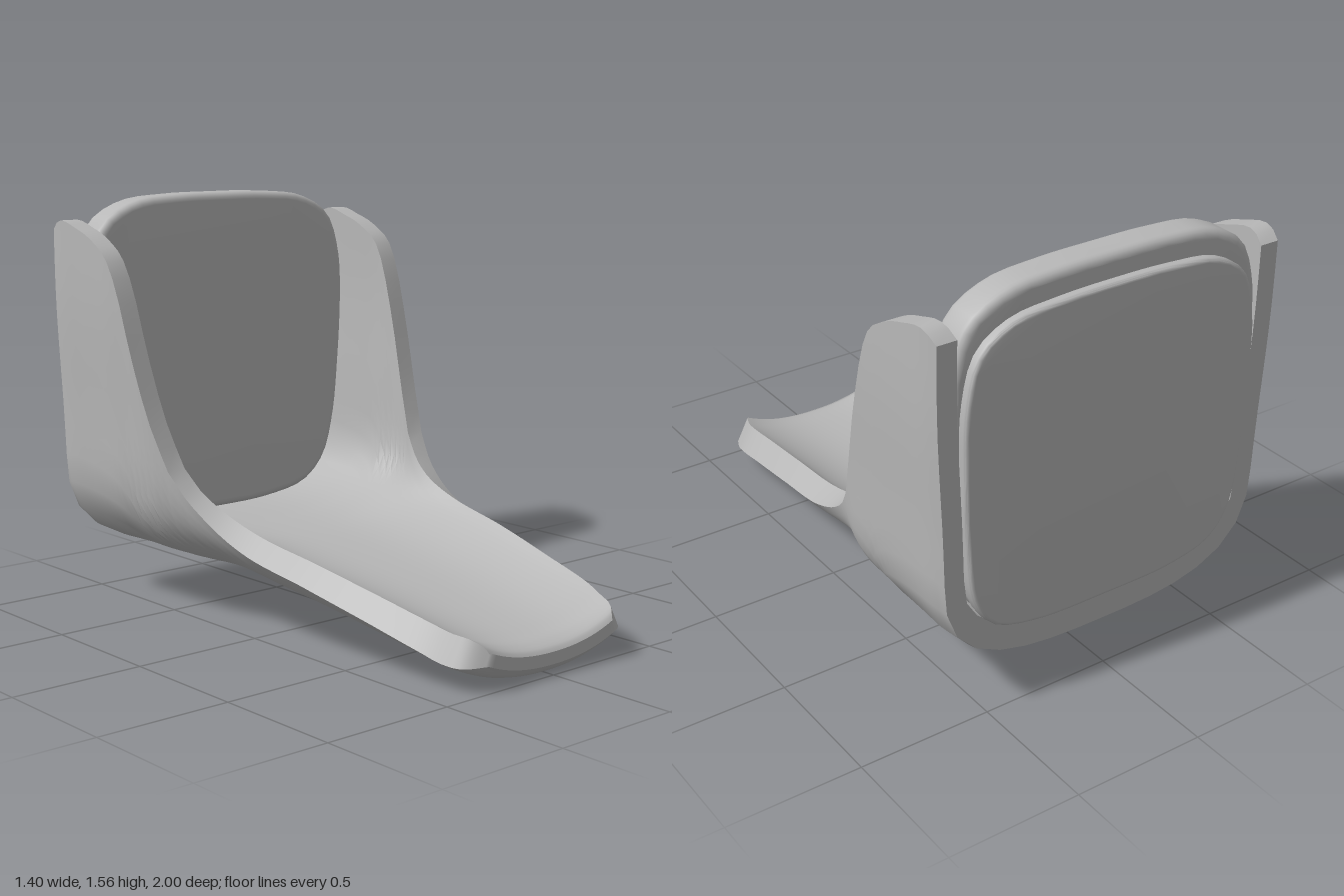
import * as THREE from 'three';
import { toCreasedNormals } from 'three/addons/utils/BufferGeometryUtils.js';

const grey = new THREE.MeshStandardMaterial({ color: 0xb8b8b8 });
grey.name = 'grey';

// Shell stations, back to front: z, underside y, rim y, half width at the rim
const STATIONS = [
  [-0.98, 0.18, 1.44, 0.69], [-0.93, 0.175, 1.475, 0.70], [-0.8, 0.175, 1.45, 0.70],
  [-0.7, 0.175, 1.41, 0.70], [-0.6, 0.172, 1.33, 0.70], [-0.55, 0.17, 1.22, 0.695],
  [-0.48, 0.17, 0.99, 0.685], [-0.4, 0.168, 0.74, 0.66], [-0.3, 0.165, 0.54, 0.62],
  [-0.2, 0.16, 0.44, 0.59], [0, 0.14, 0.335, 0.56], [0.3, 0.10, 0.265, 0.525],
  [0.6, 0.05, 0.19, 0.48], [0.8, 0.02, 0.135, 0.445], [0.9, 0.008, 0.10, 0.41],
  [0.96, 0.012, 0.095, 0.375], [1, 0.045, 0.10, 0.31],
];
const profile = new THREE.CubicInterpolant(
  STATIONS.map(s => s[0]), STATIONS.flatMap(s => s.slice(1)), 3, new Float32Array(3));

const HALF = 32;          // segments across one U-shaped section
const CORNER = 0.42;      // height of the rounded lower corner

// Closed loop of a U section: outside from right rim to left rim, then inside back
function section(z) {
  const [bottom, rim, rimX] = profile.evaluate(z);
  const h = rim - bottom;
  const n = THREE.MathUtils.mapLinear(z, -1, 1, 3, 2.2);
  const t = Math.min(1, h / CORNER);
  const end = Math.acos(Math.pow(1 - t, n / 2));
  const flare = y => 1 + 0.045 * THREE.MathUtils.smoothstep(y, CORNER * 0.8, 1.1);
  const w = rimX / (Math.pow(Math.sin(end), 2 / n) * flare(h));
  const side = [];
  for (let i = 1; i <= 14; i++) {
    const a = end * Math.pow(i / 14, 1.4);
    const y = CORNER * (1 - Math.pow(Math.max(0, Math.cos(a)), 2 / n));
    side.push([w * Math.pow(Math.sin(a), 2 / n) * flare(y), y]);
  }
  if (h > CORNER + 0.02) {
    for (let i = 1; i <= 6; i++) {
      const y = CORNER + (h - CORNER) * i / 6;
      side.push([w * flare(y), y]);
    }
  }
  const pts = [
    ...side.map(([x, y]) => new THREE.Vector2(-x, y)).reverse(),
    new THREE.Vector2(0, 0),
    ...side.map(([x, y]) => new THREE.Vector2(x, y)),
  ];
  const curve = new THREE.SplineCurve(pts);
  const lip = z > 0.92 ? Math.max(0.4, Math.sqrt(1 - ((z - 0.92) / 0.08) ** 2)) : 1;
  const outer = [], inner = [];
  for (let i = 0; i <= HALF; i++) {
    const p = curve.getPointAt(i / HALF), d = curve.getTangentAt(i / HALF);
    const thick = lip * (0.11 - 0.035 * THREE.MathUtils.smoothstep(p.y, 0.03, 0.35));
    outer.push([p.x, p.y + bottom, z]);
    inner.unshift([p.x - d.y * thick, p.y + d.x * thick + bottom, z]);
  }
  return [...outer, ...inner];
}

// Seat floor and both arms as one lofted shell
function shellGeometry() {
  const zs = [];
  for (let i = 0; i < 56; i++) zs.push(-0.98 + 1.9 * i / 56);
  zs.push(0.92, 0.94, 0.96, 0.975, 0.985, 0.994, 1);
  const positions = zs.flatMap(section).flat();
  const n = 2 * (HALF + 1), last = (zs.length - 1) * n;
  const index = [];
  for (let j = 0; j < zs.length - 1; j++) {
    for (let i = 0; i < n; i++) {
      const a = j * n + i, b = j * n + (i + 1) % n;
      index.push(a, b, b + n, a, b + n, a + n);
    }
  }
  for (let i = 0; i < HALF; i++) {
    const o = i, p = i + 1, q = n - 2 - i, r = n - 1 - i;
    index.push(o, q, p, o, r, q);
    index.push(last + o, last + p, last + q, last + o, last + q, last + r);
  }
  const g = new THREE.BufferGeometry();
  g.setAttribute('position', new THREE.Float32BufferAttribute(positions, 3));
  g.setIndex(index);
  return toCreasedNormals(g, 0.75);
}

// Rounded, softly bowed panel between two z values
function panelGeometry(half, zBack, zFront, bevel) {
  const pts = [
    ...half.map(([x, y]) => new THREE.Vector2(x, y)),
    ...half.slice(1, -1).reverse().map(([x, y]) => new THREE.Vector2(-x, y)),
  ];
  const curve = new THREE.CatmullRomCurve3(
    pts.map(p => new THREE.Vector3(p.x, p.y, 0)), true);
  const shape = new THREE.Shape(curve.getSpacedPoints(80).slice(0, -1)
    .map(p => new THREE.Vector2(p.x, p.y)));
  const g = new THREE.ExtrudeGeometry(shape, {
    depth: zFront - zBack - 2 * bevel, bevelEnabled: true, bevelThickness: bevel,
    bevelSize: bevel, bevelOffset: -bevel, bevelSegments: 4,
  });
  g.translate(0, 0, zBack + bevel);
  return toCreasedNormals(g, 0.6);
}

export function createModel() {
  const model = new THREE.Group();
  model.name = 'shellChair';
  const add = (name, geometry) => {
    const mesh = new THREE.Mesh(geometry, grey);
    mesh.name = name;
    model.add(mesh);
  };

  add('seatShell', shellGeometry());

  // Half outlines run from bottom centre to top centre
  add('backCushion', panelGeometry([
    [0, 0.285], [0.25, 0.295], [0.43, 0.335], [0.53, 0.43], [0.585, 0.6], [0.615, 0.85],
    [0.63, 1.1], [0.62, 1.3], [0.56, 1.46], [0.42, 1.54], [0.22, 1.562], [0, 1.565],
  ], -0.965, -0.825, 0.03));

  add('backPlate', panelGeometry([
    [0, 0.29], [0.3, 0.3], [0.47, 0.35], [0.55, 0.46], [0.585, 0.7], [0.595, 0.95],
    [0.59, 1.2], [0.54, 1.37], [0.42, 1.45], [0.22, 1.475], [0, 1.48],
  ], -1, -0.94, 0.015));

  return model;
}
